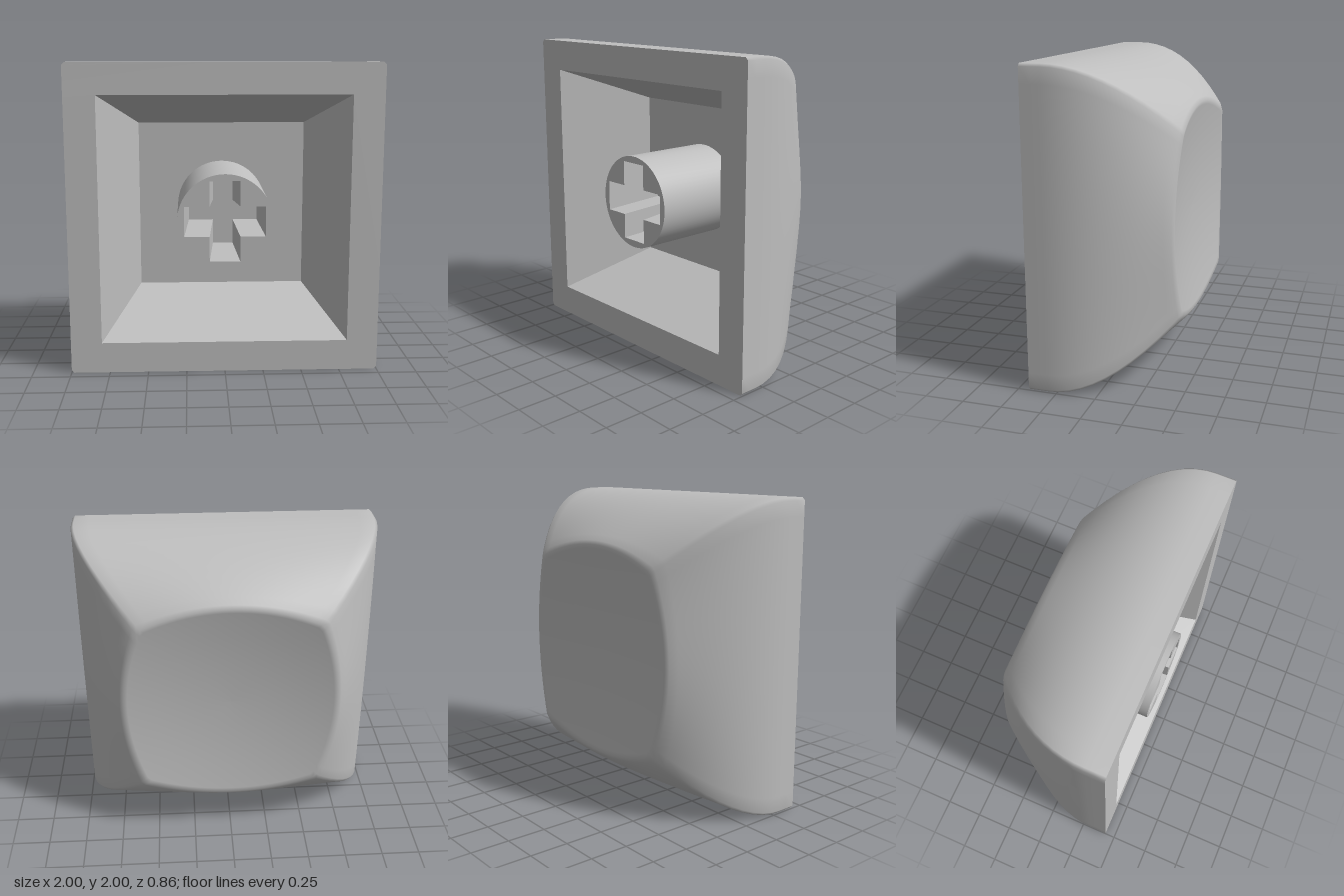
import * as THREE from 'three';

const FRONT = 0.43, FLOOR = -0.19, PIT = 0.03;
const grey = new THREE.MeshStandardMaterial({ color: 0xbebebe });
grey.name = 'grey plastic';

const dishZ = (x, y) => -(0.351 + 0.12 * (x * x + y * y));

// Bulged square outline, counter-clockwise; t = 0 at the rim, 1 at the dish edge
function outline(t) {
  const f = Math.max(0, (t - 0.15) / 0.85) ** 2;
  const mid = 1 - 0.3 * f, corner = 1 - 0.42 * f, n = 20, pts = [];
  for (let k = 0; k < 4; k++) {
    for (let i = 0; i <= n; i++) {
      const s = (2 * i / n - 1) * (1 - 0.018 / corner);
      const p = new THREE.Vector2(mid - (mid - corner) * s * s, s * corner);
      pts.push(p.rotateAround(new THREE.Vector2(), k * Math.PI / 2));
    }
  }
  return pts;
}

// Outer skin: curved sides that roll over into the hollow dish
function shellGeometry() {
  const rings = [];
  for (const t of [0, 0.08, 0.15, 0.22, 0.3, 0.38, 0.46, 0.54, 0.62, 0.7, 0.78, 0.86, 0.93, 0.98]) {
    const edge = outline(1), pts = outline(t);
    rings.push(pts.map((p, i) =>
      [p.x, p.y, THREE.MathUtils.lerp(FRONT, dishZ(edge[i].x, edge[i].y), t)]));
  }
  for (const s of [0.985, 0.95, 0.85, 0.7, 0.55, 0.4, 0.25, 0.1, 0.001]) {
    rings.push(outline(1).map(p => [p.x * s, p.y * s, dishZ(p.x * s, p.y * s)]));
  }
  const n = rings[0].length, index = [];
  for (let j = 0; j < rings.length - 1; j++) {
    for (let i = 0; i < n; i++) {
      const a = j * n + i, c = j * n + (i + 1) % n;
      index.push(a, a + n, c, c, a + n, c + n);
    }
  }
  const geo = new THREE.BufferGeometry();
  geo.setAttribute('position', new THREE.Float32BufferAttribute(rings.flat(2), 3));
  geo.setIndex(index);
  geo.computeVertexNormals();
  return geo;
}

// Flat walls facing inward between a front outline and a back outline
function innerWalls(front, zFront, back, zBack) {
  const pos = [];
  front.forEach((p, i) => {
    const k = (i + 1) % front.length, q = front[k], pb = back[i], qb = back[k];
    pos.push(p.x, p.y, zFront, q.x, q.y, zFront, pb.x, pb.y, zBack);
    pos.push(q.x, q.y, zFront, qb.x, qb.y, zBack, pb.x, pb.y, zBack);
  });
  const geo = new THREE.BufferGeometry();
  geo.setAttribute('position', new THREE.Float32BufferAttribute(pos, 3));
  geo.computeVertexNormals();
  return geo;
}

const square = h => [[-h, -h], [h, -h], [h, h], [-h, h]].map(p => new THREE.Vector2(...p));

// Plus sign with arm length l and arm half-width w, counter-clockwise
function cross(l, w) {
  const pts = [];
  for (let k = 0; k < 4; k++) {
    for (const [x, y] of [[l, -w], [l, w], [w, w]]) {
      pts.push(new THREE.Vector2(x, y).rotateAround(new THREE.Vector2(), k * Math.PI / 2));
    }
  }
  return pts;
}

// Flat face looking forward, with an optional hole
function face(pts, z, hole) {
  const shape = new THREE.Shape(pts);
  if (hole) shape.holes.push(new THREE.Path(hole));
  return new THREE.ShapeGeometry(shape).translate(0, 0, z);
}

export function createModel() {
  const model = new THREE.Group();
  model.name = 'keycap';
  const body = new THREE.Group();
  body.name = 'keycapBody';
  body.position.y = 1;
  model.add(body);
  const add = (name, geo) => {
    const mesh = new THREE.Mesh(geo, grey);
    mesh.name = name;
    body.add(mesh);
  };

  add('outerShell', shellGeometry());
  add('rim', face(outline(0), FRONT, square(0.8)));

  // Tapered cavity
  add('cavityWalls', innerWalls(square(0.8), FRONT, square(0.573), FLOOR));
  add('cavityFloor', face(square(0.573), FLOOR));

  // Stem with a cross-shaped, chamfered socket
  const R = 0.305;
  const circle = new THREE.EllipseCurve(0, 0, R, R).getPoints(64).slice(0, 64);
  const stem = new THREE.CylinderGeometry(R, R, FRONT - FLOOR, 64, 1, true);
  add('stem', stem.rotateX(Math.PI / 2).translate(0, 0, (FRONT + FLOOR) / 2));
  add('stemFace', face(circle, FRONT, cross(0.26, 0.098)));
  add('socketWalls', innerWalls(cross(0.26, 0.098), FRONT, cross(0.23, 0.067), PIT));
  add('socketFloor', face(cross(0.23, 0.067), PIT));

  return model;
}
